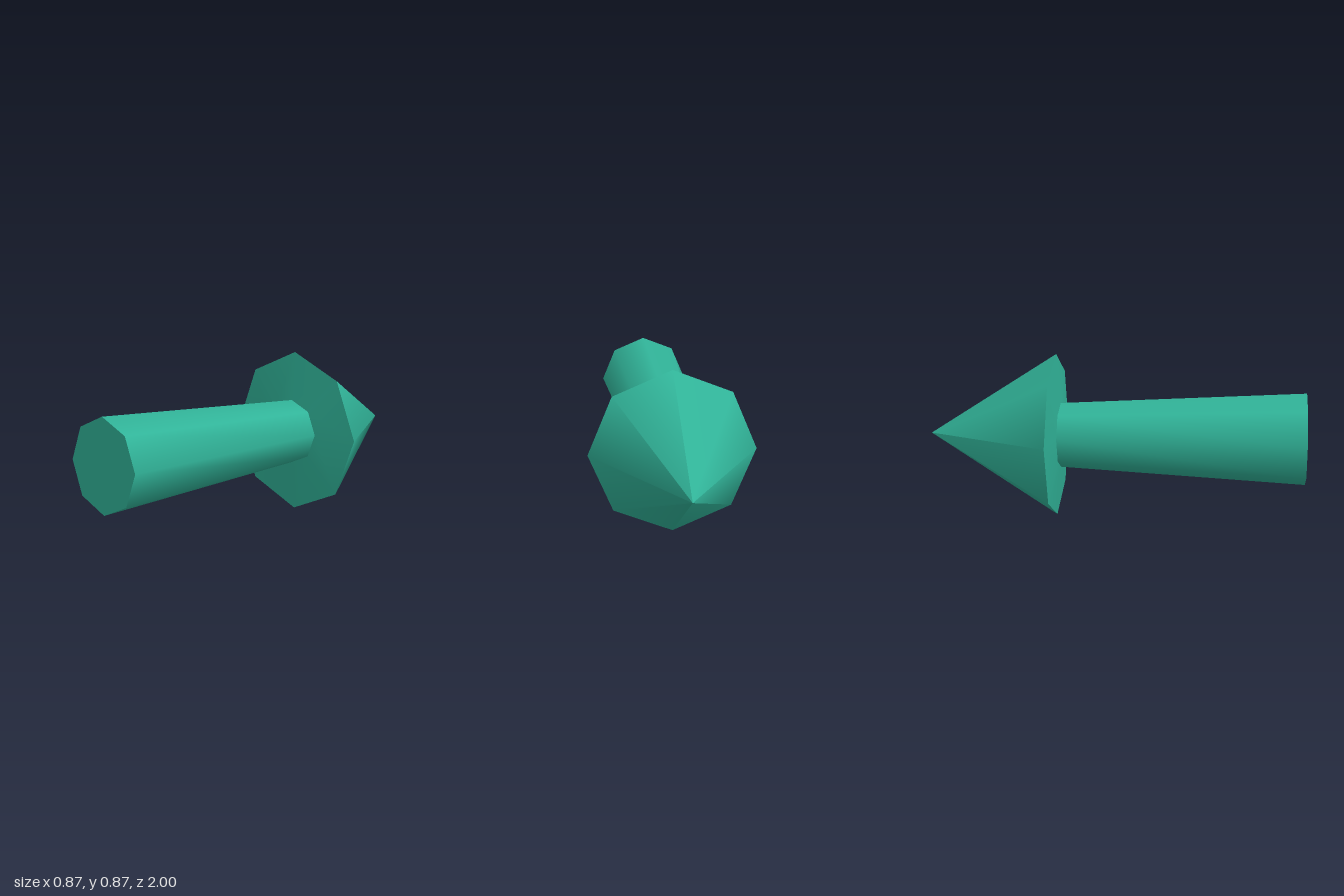
import * as THREE from 'three';

const SIDES = 8;
const CENTRE_Y = 0.437;

export function createModel() {
  const group = new THREE.Group();
  group.name = 'arrow';
  const teal = new THREE.MeshStandardMaterial({ color: 0x31b499 });
  teal.name = 'teal';

  // Eight-sided tapered section along z, from zFront (radius rFront) back to zBack
  function section(name, zFront, rFront, zBack, rBack, open) {
    const geometry = new THREE.CylinderGeometry(rBack, rFront, zFront - zBack, SIDES, 1, open);
    geometry.rotateX(-Math.PI / 2);
    const mesh = new THREE.Mesh(geometry, teal);
    mesh.name = name;
    mesh.position.set(0, CENTRE_Y, (zFront + zBack) / 2);
    group.add(mesh);
  }

  // Shaft with flat end cap, narrowing towards the head
  section('shaft', 1, 0.243, -0.295, 0.173, false);
  // Shallow sloped shoulder between shaft and head rim
  section('headShoulder', -0.295, 0.173, -0.318, 0.434, true);
  // Pointed head
  section('headCone', -0.318, 0.434, -1, 0, true);

  return group;
}
